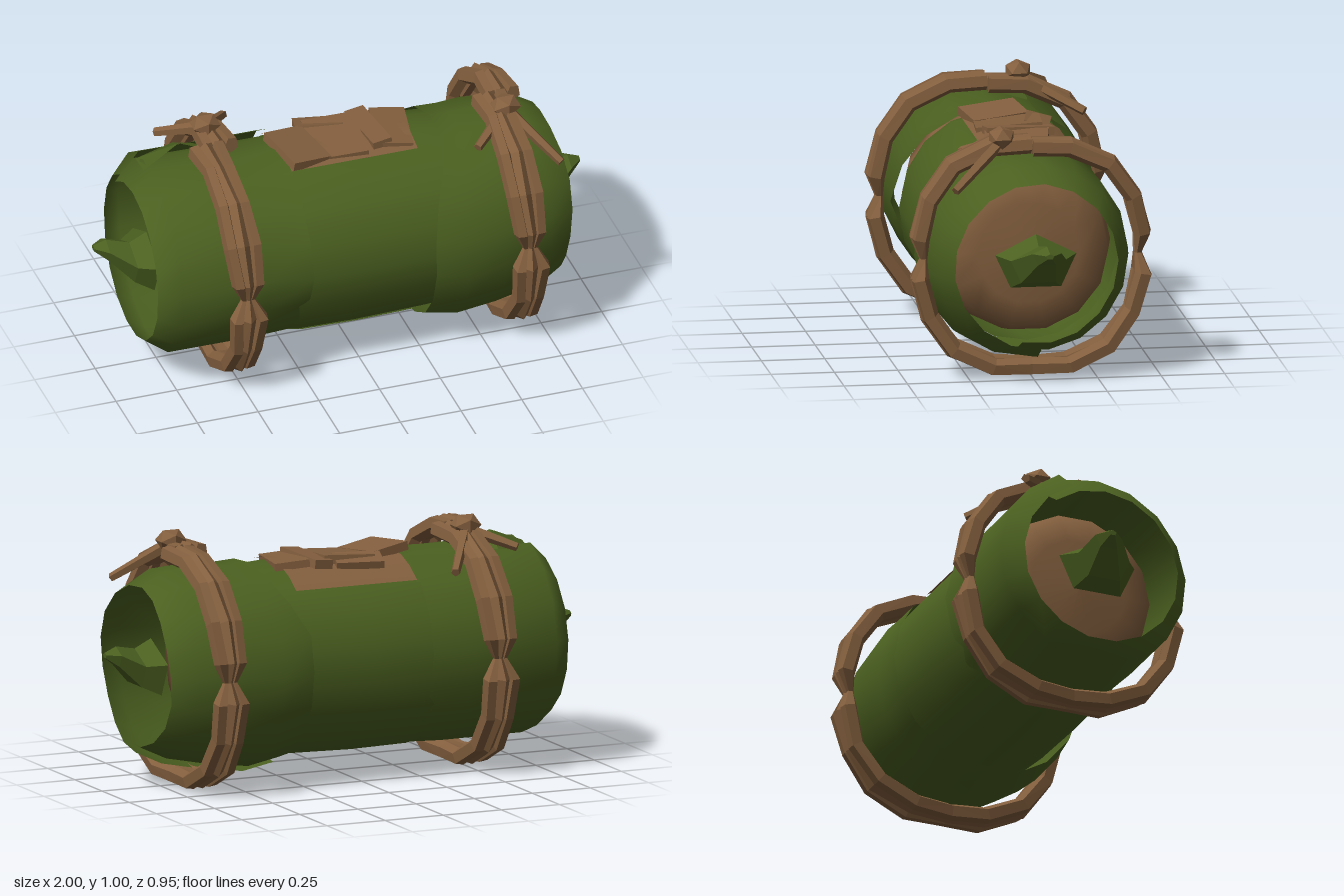
import * as THREE from 'three';

const CY = 0.477; // height of the bundle's axis
const rad = THREE.MathUtils.degToRad;

// Indexed grid of points: rows x cols, optionally capped at both ends
function grid(rows, capped) {
  const cols = rows[0].length, pos = rows.flat(2), idx = [];
  for (let i = 0; i < rows.length - 1; i++)
    for (let j = 0; j < cols - 1; j++) {
      const a = i * cols + j, b = a + cols;
      idx.push(a, b, a + 1, b, b + 1, a + 1);
    }
  if (capped) {
    const last = (rows.length - 1) * cols;
    for (let j = 1; j < cols - 2; j++) idx.push(0, j, j + 1, last, last + j + 1, last + j);
  }
  const g = new THREE.BufferGeometry();
  g.setAttribute('position', new THREE.Float32BufferAttribute(pos, 3));
  g.setIndex(idx);
  g.computeVertexNormals();
  return g;
}

// Faceted copy of a geometry
function flat(g) {
  const f = g.index ? g.toNonIndexed() : g;
  f.computeVertexNormals();
  return f;
}

// Sheet rolled around the x axis; profile entries are [x, radius, centre y].
// Angle 0 faces +z, 90 faces up. adjust(point, angle, row) may shift x and radius.
function sheet(profile, from, to, grow = 0, adjust = () => {}, seg = 18) {
  return grid(profile.map(([x, r, cy], i) => {
    const row = [];
    for (let j = 0; j <= seg; j++) {
      const a = rad(from + (to - from) * j / seg);
      const p = { x, r: r + grow * j / seg };
      adjust(p, a, i);
      row.push([p.x, cy + p.r * Math.sin(a), p.r * Math.cos(a)]);
    }
    return row;
  }));
}

// Hoop radius at each angle from the horizontal
const hoop = [[0, 0.422], [10, 0.446], [30, 0.462], [50, 0.474], [71, 0.46], [90, 0.441]];
const halfHoop = [...hoop.slice(1).reverse().map(([d, r]) => [-d, r]), ...hoop];

// One strand of a half hoop, pinched where it crosses the middle height
function strand(cx, side, k) {
  const rows = halfHoop.map(([deg, radius], n) => {
    const a = rad(deg), pinch = deg === 0 ? 0.4 : 1;
    const wob = 0.006 * Math.sin(n * 2.1 + k * 1.7 + cx * 5);
    const x0 = cx - side * 0.028 * Math.max(0, Math.sin(a)) + (k * 0.043 + wob) * pinch;
    const r0 = radius + wob * 0.4;
    const row = [];
    for (let j = 0; j <= 5; j++) {
      const t = j / 5 * Math.PI * 2 + Math.PI / 2 + k * 0.5;
      const r = r0 + 0.036 * pinch * Math.sin(t);
      row.push([x0 + 0.029 * pinch * Math.cos(t), CY + r * Math.sin(a), side * r * Math.cos(a)]);
    }
    return row;
  });
  return flat(grid(rows, true));
}

export function createModel() {
  const model = new THREE.Group();
  const green = new THREE.MeshStandardMaterial({ color: 0x4b6020, side: THREE.DoubleSide });
  green.name = 'leaf green';
  const brown = new THREE.MeshStandardMaterial({ color: 0x835f3e, side: THREE.DoubleSide });
  brown.name = 'bark brown';

  const add = (name, geo, mat, parent = model) => {
    const m = new THREE.Mesh(geo, mat);
    m.name = name;
    parent.add(m);
    return m;
  };

  // Filling inside the wrapping, with slightly domed ends
  const core = add('filling', new THREE.LatheGeometry(
    [[0, -0.62], [0.2, -0.61], [0.318, -0.58], [0.352, -0.4], [0.352, 0.4], [0.318, 0.58], [0.2, 0.61], [0, 0.62]]
      .map(p => new THREE.Vector2(...p)), 14), brown);
  core.rotation.z = -Math.PI / 2;
  core.position.y = CY;

  // Three overlapping rolled leaves
  add('middleLeaf', sheet(
    [[-0.34, 0.362, 0.475], [-0.24, 0.382, 0.473], [0, 0.384, 0.47], [0.3, 0.38, 0.473], [0.5, 0.365, 0.475]],
    -60, 310, 0.006), green);
  add('rightLeaf', sheet(
    [[-0.85, 0.31, 0.477], [-0.77, 0.378, 0.488], [-0.42, 0.376, 0.484], [-0.24, 0.378, 0.481]],
    490, 112, 0.03,
    (p, a, i) => {
      if (i !== 3) return;
      // The inner edge flares over the front top and tucks in underneath
      const s = Math.sin(a);
      if (s < -0.15) p.r -= 0.012;
      else if (Math.cos(a) > 0) p.r += 0.032 * (1 - 0.8 * s);
    }), green);
  add('leftLeaf', sheet(
    [[0.27, 0.386, 0.468], [0.4, 0.396, 0.453], [0.56, 0.39, 0.467], [0.75, 0.364, 0.48], [0.85, 0.31, 0.478]],
    282, -92, 0.025,
    (p, a, i) => {
      const s = Math.sin(a);
      if (i === 0) p.x += 0.2 * Math.max(0, s - 0.4);
      if (i === 1) p.x += 0.12 * Math.max(0, s - 0.4);
      if (i === 4) p.x += 0.01 * Math.sin(a * 3);
    }), green);

  // Curled leaf tip at the top of the right end
  add('leafFlap', flat(grid([
    [[-0.79, 0.855, -0.03], [-0.78, 0.83, -0.16]],
    [[-0.63, 0.918, -0.08], [-0.62, 0.86, -0.18]],
    [[-0.5, 0.87, -0.06], [-0.5, 0.84, -0.16]],
  ])), green);

  // Bent five-sided bud at each end
  const pent = [[0.59, 0], [0.51, 0.16], [0.38, 0.1], [0.38, -0.1], [0.51, -0.16], [0.59, 0]];
  const budRow = (x, s, cy, cz) => pent.map(([y, z]) => [x, cy + (y - 0.475) * s, cz + z * s]);
  for (const side of [1, -1]) {
    const bud = add(side > 0 ? 'leftBud' : 'rightBud', flat(grid([
      budRow(0.79, 1, 0.475, 0), budRow(0.86, 0.68, 0.477, 0),
      budRow(0.95, 0.36, 0.533, -0.02), budRow(1, 0.1, 0.543, -0.025),
    ], true)), green);
    bud.scale.x = side;
  }

  // Crumpled patch on top
  const patch = new THREE.Group();
  patch.name = 'topPatch';
  model.add(patch);
  add('patchBase', sheet([[-0.24, 0.394, 0.473], [0.28, 0.394, 0.473]], 69, 129, 0, undefined, 5), brown, patch);
  [ // size, position, rotation
    [[0.17, 0.035, 0.23], [-0.175, 0.862, 0.02], [0.08, 0.22, -0.15]],
    [[0.19, 0.03, 0.1], [-0.04, 0.853, -0.13], [-0.25, -0.2, -0.05]],
    [[0.21, 0.035, 0.26], [-0.01, 0.852, -0.01], [0.08, -0.08, 0.05]],
    [[0.08, 0.035, 0.27], [0.135, 0.86, -0.03], [-0.03, 0.1, 0.1]],
    [[0.14, 0.03, 0.25], [0.22, 0.853, -0.01], [0.03, -0.18, -0.08]],
  ].forEach(([s, p, r]) => {
    const fold = add('patchFold', new THREE.BoxGeometry(...s), brown, patch);
    fold.position.set(...p);
    fold.rotation.set(...r);
  });

  // Tapered rope end between two points
  const tail = (a, b, parent) => {
    const A = new THREE.Vector3(...a), B = new THREE.Vector3(...b);
    const d = B.clone().sub(A);
    const t = add('ropeTail', flat(new THREE.CylinderGeometry(0.018, 0.026, d.length(), 5)), brown, parent);
    t.position.copy(A).addScaledVector(d, 0.5);
    t.quaternion.setFromUnitVectors(new THREE.Vector3(0, 1, 0), d.normalize());
  };

  // Rope hoops, each with a knot and two loose ends
  [
    { name: 'rightRope', x: -0.515, knot: [-0.505, 0.955, -0.125],
      ends: [[-0.67, 0.875, -0.25], [-0.35, 0.82, -0.365]] },
    { name: 'leftRope', x: 0.647, knot: [0.65, 0.948, 0.115],
      ends: [[0.49, 0.865, 0.25], [0.81, 0.775, 0.32]] },
  ].forEach(({ name, x, knot, ends }) => {
    const rope = new THREE.Group();
    rope.name = name;
    model.add(rope);
    for (const side of [1, -1])
      for (const k of [-1, 0, 1]) add('ropeStrand', strand(x, side, k), brown, rope);
    const ball = add('knot', flat(new THREE.IcosahedronGeometry(0.056, 0)), brown, rope);
    ball.position.set(...knot);
    ball.scale.set(1.15, 0.85, 1);
    ends.forEach(e => tail([knot[0], knot[1] - 0.015, knot[2]], e, rope));
  });

  return model;
}
